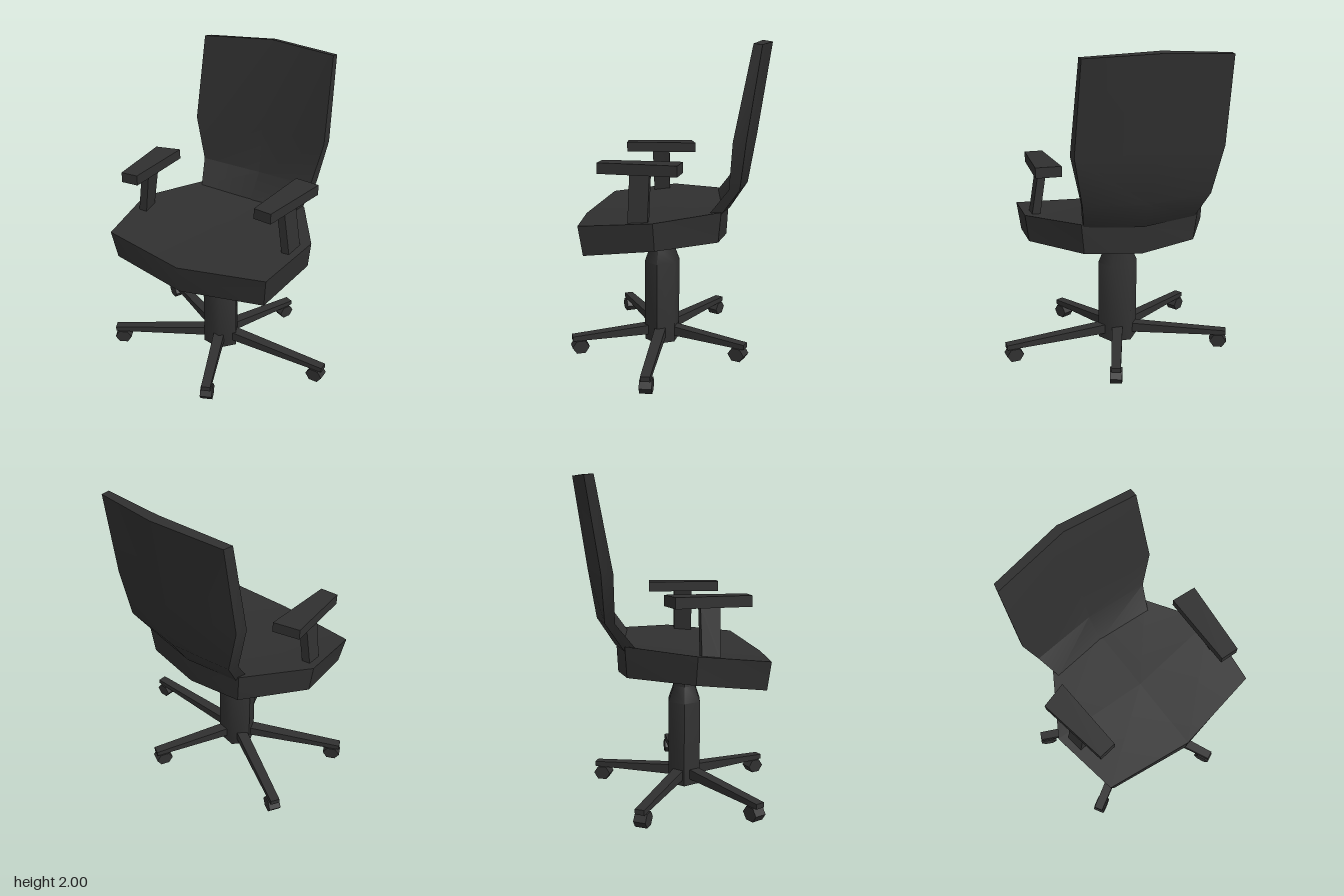
import * as THREE from 'three';
import { toCreasedNormals } from 'three/addons/utils/BufferGeometryUtils.js';

const charcoal = new THREE.MeshStandardMaterial({ color: 0x303030 });
charcoal.name = 'charcoal';

// Closed slab between two grids of points (rows low to high, columns left to right)
function slab(front, back, crease = 0.5) {
  const pos = [];
  const quad = (a, b, c, d) => pos.push(...a, ...b, ...c, ...a, ...c, ...d);
  const R = front.length - 1, C = front[0].length - 1;
  for (let r = 0; r < R; r++) {
    for (let c = 0; c < C; c++) {
      quad(front[r][c], front[r][c + 1], front[r + 1][c + 1], front[r + 1][c]);
      quad(back[r][c], back[r + 1][c], back[r + 1][c + 1], back[r][c + 1]);
    }
  }
  const rim = [];
  for (let c = 0; c < C; c++) rim.push([0, c]);
  for (let r = 0; r < R; r++) rim.push([r, C]);
  for (let c = C; c > 0; c--) rim.push([R, c]);
  for (let r = R; r > 0; r--) rim.push([r, 0]);
  rim.forEach(([r, c], i) => {
    const [s, d] = rim[(i + 1) % rim.length];
    quad(front[r][c], back[r][c], back[s][d], front[s][d]);
  });
  const g = new THREE.BufferGeometry();
  g.setAttribute('position', new THREE.Float32BufferAttribute(pos, 3));
  return toCreasedNormals(g, crease);
}

export function createModel() {
  const chair = new THREE.Group();
  chair.name = 'officeChair';
  const add = (name, geometry, parent = chair) => {
    const m = new THREE.Mesh(geometry, charcoal);
    m.name = name;
    parent.add(m);
    return m;
  };

  // Dished seat cushion, front row to rear row
  add('seat', slab(
    [
      [[-0.53, 0.925, 0.565], [0.04, 0.885, 0.565], [0.585, 0.935, 0.41]],
      [[-0.655, 0.978, 0.14], [-0.02, 0.92, 0.08], [0.585, 0.978, -0.045]],
      [[-0.46, 1.0, -0.28], [-0.08, 0.96, -0.36], [0.3, 1.0, -0.385]],
    ],
    [
      [[-0.5, 0.75, 0.545], [0.04, 0.712, 0.55], [0.56, 0.75, 0.39]],
      [[-0.64, 0.81, 0.13], [-0.02, 0.735, 0.08], [0.565, 0.81, -0.05]],
      [[-0.44, 0.81, -0.27], [-0.08, 0.775, -0.35], [0.28, 0.81, -0.365]],
    ]));

  // Backrest, bottom row to top row
  add('backrest', slab(
    [
      [[-0.45, 0.99, -0.22], [-0.09, 0.95, -0.31], [0.28, 0.99, -0.315]],
      [[-0.515, 1.14, -0.33], [-0.1, 1.12, -0.42], [0.31, 1.14, -0.43]],
      [[-0.58, 1.43, -0.33], [-0.11, 1.43, -0.46], [0.375, 1.43, -0.46]],
      [[-0.58, 1.975, -0.43], [-0.12, 2.0, -0.55], [0.34, 1.975, -0.56]],
    ],
    [
      [[-0.44, 0.97, -0.285], [-0.08, 0.95, -0.37], [0.285, 0.98, -0.38]],
      [[-0.5, 1.14, -0.39], [-0.09, 1.12, -0.48], [0.315, 1.14, -0.495]],
      [[-0.575, 1.43, -0.4], [-0.11, 1.43, -0.53], [0.365, 1.43, -0.535]],
      [[-0.575, 1.97, -0.485], [-0.13, 1.99, -0.61], [0.335, 1.97, -0.61]],
    ]));

  // Armrests: corners as [x, z], front pair then rear pair
  const level = (corners, y) => [0, 2].map(i => corners.slice(i, i + 2).map(([x, z]) => [x, y, z]));
  const armrests = [
    {
      name: 'rightArmrest',
      pad: [[-0.515, 0.45], [-0.405, 0.425], [-0.64, 0.015], [-0.485, -0.05]],
      top: [[-0.525, 0.27], [-0.475, 0.258], [-0.553, 0.155], [-0.5, 0.143]],
      foot: [[-0.575, 0.27], [-0.52, 0.258], [-0.605, 0.165], [-0.55, 0.153]],
    },
    {
      name: 'leftArmrest',
      pad: [[0.415, 0.31], [0.53, 0.305], [0.37, -0.17], [0.53, -0.175]],
      top: [[0.44, 0.125], [0.49, 0.12], [0.437, 0.005], [0.487, 0]],
      foot: [[0.49, 0.125], [0.542, 0.12], [0.487, 0.005], [0.54, 0]],
    },
  ];
  for (const a of armrests) {
    const group = new THREE.Group();
    group.name = a.name;
    chair.add(group);
    add('armPad', slab(level(a.pad, 1.305), level(a.pad, 1.24)), group);
    add('armPost', slab(level(a.top, 1.245), level(a.foot, 0.93)), group);
  }

  // Six-sided column with a tapered neck
  const hub = [-0.037, 0.07];
  const column = new THREE.LatheGeometry(
    [[0, 0.04], [0.132, 0.04], [0.132, 0.58], [0.09, 0.68], [0.09, 0.77], [0, 0.77]]
      .map(p => new THREE.Vector2(...p)), 6, Math.PI / 6);
  column.scale(1, 1, 0.88);
  add('column', toCreasedNormals(column, 1.1)).position.set(hub[0], 0, hub[1]);

  // Five tapered legs with a hexagonal caster under each tip
  const tips = [[0.735, -0.04], [0.275, 0.593], [-0.63, 0.503], [-0.725, -0.188], [0.125, -0.52]];
  for (const [x, z] of tips) {
    const dx = x - hub[0], dz = z - hub[1], length = Math.hypot(dx, dz);
    const leg = new THREE.Group();
    leg.name = 'leg';
    leg.position.set(hub[0], 0, hub[1]);
    leg.rotation.y = Math.atan2(dx, dz);
    chair.add(leg);
    const section = (yRoot, yTip) => [
      [[-0.029, yTip, length], [0.029, yTip, length]],
      [[-0.036, yRoot, 0.05], [0.036, yRoot, 0.05]],
    ];
    add('legBeam', slab(section(0.145, 0.115), section(0.08, 0.084)), leg);

    const wheel = new THREE.CylinderGeometry(0.056, 0.056, 0.075, 6);
    wheel.rotateY(Math.PI / 6).rotateX(Math.PI / 2).rotateY(Math.PI / 2);
    wheel.scale(1, 0.85, 1);
    add('caster', toCreasedNormals(wheel, 0.5), leg).position.set(0, 0.0415, length - 0.05);
  }
  return chair;
}
